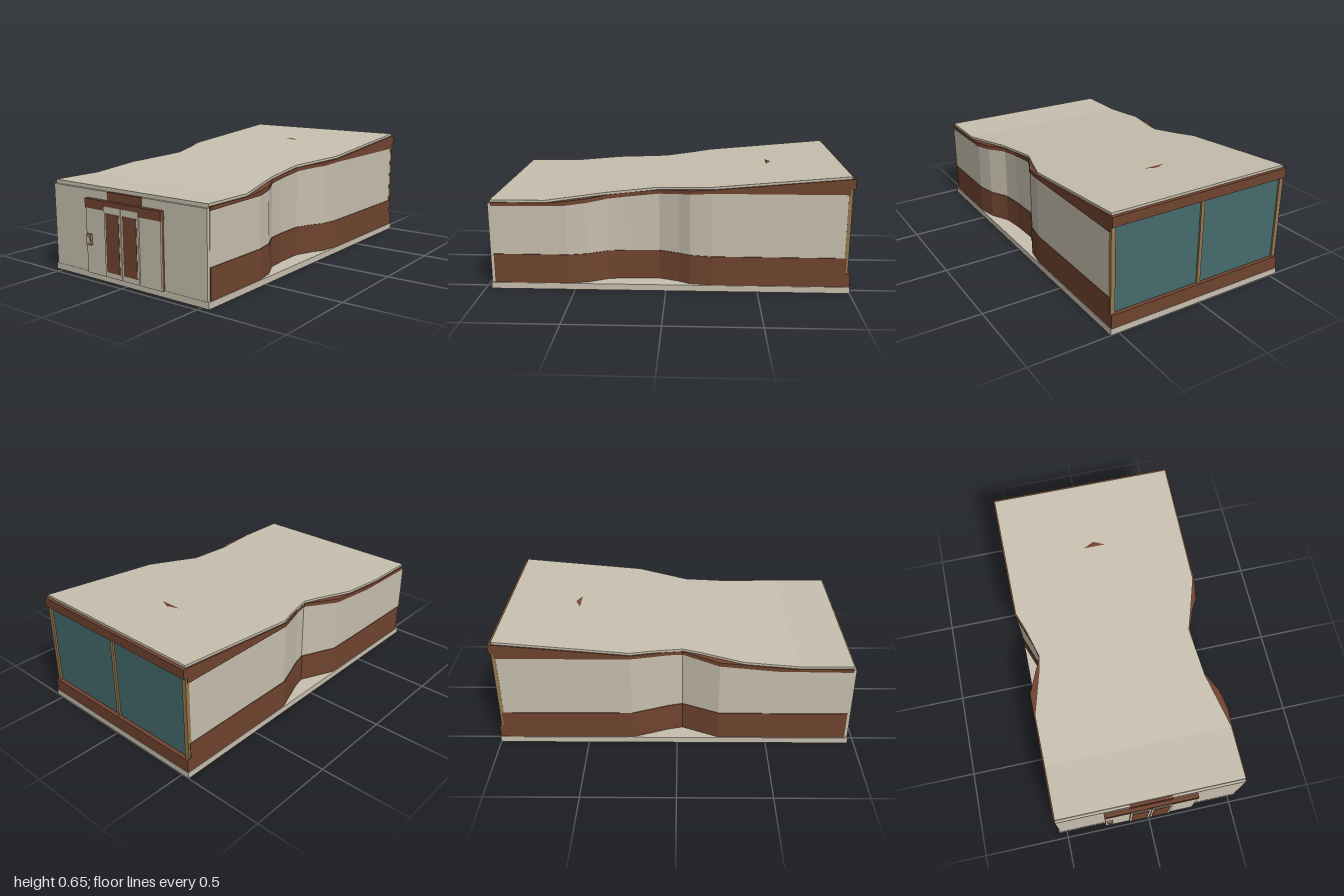
import * as THREE from 'three';

const mat = (name, color) => {
  const m = new THREE.MeshStandardMaterial({ color });
  m.name = name;
  return m;
};

// linear interpolation through [z, value] pairs, ordered from front to back
function at(path, z) {
  for (let i = 0; i < path.length - 1; i++) {
    const [za, a] = path[i], [zb, b] = path[i + 1];
    if (z <= za && z >= zb) return a + (b - a) * (za - z) / (za - zb);
  }
  return z > path[0][0] ? path[0][1] : path[path.length - 1][1];
}

// solid through four-cornered sections [xMin, xMax, yMin, yMax, z], front to back
function loft(sections) {
  const rows = sections.map(([a, b, c, d, z]) => [[a, c, z], [b, c, z], [b, d, z], [a, d, z]]);
  const pos = [];
  const quad = (a, b, c, d) => pos.push(...a, ...b, ...c, ...a, ...c, ...d);
  for (let i = 0; i < rows.length - 1; i++) {
    for (let k = 0; k < 4; k++) {
      const n = (k + 1) % 4;
      quad(rows[i][k], rows[i + 1][k], rows[i + 1][n], rows[i][n]);
    }
  }
  const end = rows[rows.length - 1];
  quad(...rows[0]);
  quad(end[3], end[2], end[1], end[0]);
  const g = new THREE.BufferGeometry();
  g.setAttribute('position', new THREE.Float32BufferAttribute(pos, 3));
  g.computeVertexNormals();
  return g;
}

export function createModel() {
  const group = new THREE.Group();
  const cream = mat('cream', 0xc8c0af);
  const brown = mat('brown', 0x70442f);
  const tan = mat('tan', 0x95794f);
  const glass = mat('tealGlass', 0x456a6c);

  const add = (name, geo, material) => {
    const m = new THREE.Mesh(geo, material);
    m.name = name;
    group.add(m);
    return m;
  };
  const box = (name, x0, x1, y0, y1, z0, z1, material) => {
    const m = add(name, new THREE.BoxGeometry(x1 - x0, y1 - y0, z1 - z0), material);
    m.position.set((x0 + x1) / 2, (y0 + y1) / 2, (z0 + z1) / 2);
  };

  // outlines as [z, distance from the middle]
  const wallRight = [[0.945, 0.543], [0.54, 0.543], [0.43, 0.52], [0.32, 0.463], [0.2, 0.45],
    [0.04, 0.445], [-0.07, 0.488], [-0.13, 0.523], [-0.25, 0.543], [-0.975, 0.543]];
  const wallLeft = [[0.945, 0.543], [0.54, 0.543], [0.23, 0.54], [0.1, 0.482], [0.03, 0.45],
    [-0.05, 0.47], [-0.13, 0.5], [-0.25, 0.543], [-0.975, 0.543]];
  const roofRight = [[0.95, 0.535], [0.65, 0.535], [0.33, 0.46], [0.05, 0.435], [-0.07, 0.475],
    [-0.25, 0.532], [-0.98, 0.535]];
  const roofLeft = [[0.95, 0.535], [0.36, 0.535], [0.12, 0.467], [0.03, 0.448], [-0.13, 0.492],
    [-0.25, 0.535], [-0.98, 0.535]];
  const roofTop = [[0.95, 0.505], [0.65, 0.505], [-0.98, 0.65]];
  const wallTop = [[0.95, 0.472], [0.54, 0.478], [-0.25, 0.552], [-0.98, 0.552]];
  const roofThickness = 0.013;

  // base slab
  box('baseSlab', -0.547, 0.547, 0, 0.035, -1, 0.965, cream);

  // curved side walls: lower band, wall face and eaves trim
  for (const [side, s, path] of [['Left', 1, wallRight], ['Right', -1, wallLeft]]) {
    const band = (name, inset, depth, y0, y1, material) => {
      const zs = [...new Set([...path.map((p) => p[0]), 0.65])].sort((a, b) => b - a);
      add(name + side, loft(zs.map((z) => {
        const outer = s * (at(path, z) - inset), inner = outer - s * depth;
        return [Math.min(outer, inner), Math.max(outer, inner), y0(z), y1(z), z];
      })), material);
    };
    const under = (z) => at(roofTop, z) - roofThickness;
    band('lowerBand', 0, 0.02, () => 0.035, () => 0.2, brown);
    band('sideWall', 0.004, 0.02, () => 0.2, (z) => at(wallTop, z), cream);
    band('eavesTrim', 0, 0.045, (z) => at(wallTop, z), under, brown);
  }

  // sloping roof with pinched waist
  const roofZ = [...new Set([...roofRight, ...roofLeft, ...roofTop].map((p) => p[0]))]
    .sort((a, b) => b - a);
  add('roof', loft(roofZ.map((z) => {
    const y = at(roofTop, z);
    return [-at(roofLeft, z), at(roofRight, z), y - roofThickness, y, z];
  })), cream);

  // small triangular marker lying on the roof slope
  const tri = new THREE.BufferGeometry();
  const markY = (z) => at(roofTop, z) + 0.002;
  tri.setAttribute('position', new THREE.Float32BufferAttribute(
    [-0.065, markY(-0.57), -0.57, 0.065, markY(-0.57), -0.57, 0, markY(-0.6), -0.6], 3));
  tri.computeVertexNormals();
  add('roofMarker', tri, brown);

  // front wall and entrance surround
  box('frontWall', -0.537, 0.537, 0.035, 0.485, 0.935, 0.963, cream);
  box('frontRoofEdge', -0.535, 0.535, 0.485, 0.504, 0.935, 0.95, cream);
  box('entranceBacking', -0.265, 0.265, 0.035, 0.39, 0.95, 0.978, brown);
  box('entranceHeader', -0.268, 0.268, 0.39, 0.44, 0.95, 0.988, brown);
  box('upperHeader', -0.121, 0.121, 0.44, 0.485, 0.945, 0.967, brown);
  for (const s of [-1, 1]) {
    const span = (name, a, b, y0, y1, z0, z1, m) =>
      box(name, Math.min(s * a, s * b), Math.max(s * a, s * b), y0, y1, z0, z1, m);
    span('entrancePanel', 0.122, 0.265, 0.036, 0.389, 0.978, 0.985, cream);
    span('door', 0.002, 0.121, 0.04, 0.415, 0.97, 0.992, cream);
    span('doorInset', 0.014, 0.109, 0.068, 0.38, 0.99, 0.994, brown);
    // rear corner posts and window panes
    span('cornerPost', 0.515, 0.54, 0.1, 0.59, -0.986, -0.965, tan);
    span('rearWindow', 0, 0.525, 0.1, 0.59, -0.976, -0.968, glass);
  }

  // wall keypad
  box('keypad', -0.255, -0.222, 0.192, 0.252, 0.985, 0.998, tan);
  box('keypadScreen', -0.248, -0.228, 0.205, 0.235, 0.997, 1, cream);

  // rear frame
  box('centrePost', -0.01, 0.01, 0.1, 0.59, -0.986, -0.965, tan);
  box('rearSill', -0.543, 0.543, 0.035, 0.11, -0.998, -0.965, brown);
  box('rearLintel', -0.543, 0.543, 0.583, 0.636, -0.998, -0.965, brown);

  return group;
}
